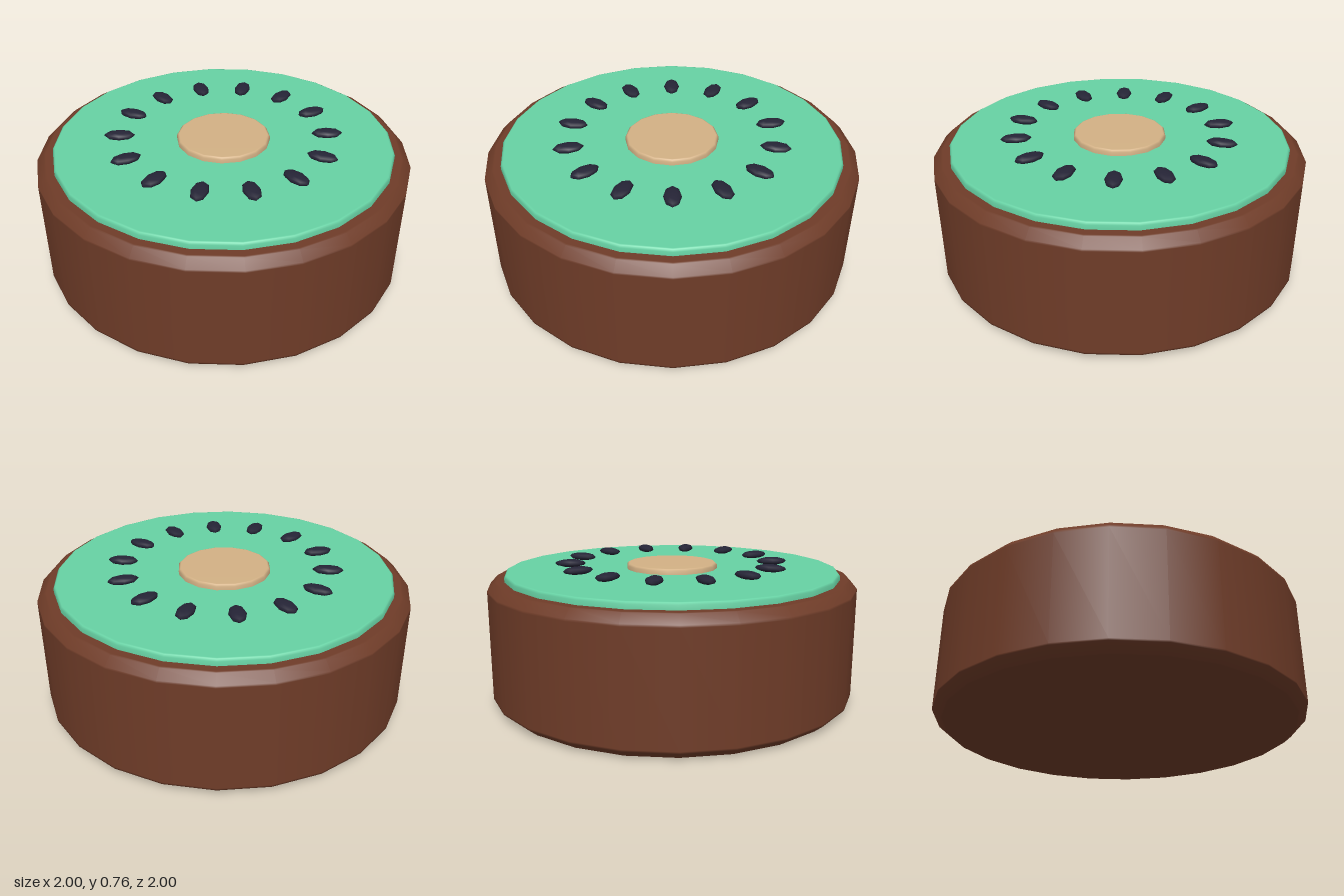
import * as THREE from 'three';

const material = (name, color) => Object.assign(new THREE.MeshStandardMaterial({ color }), { name });

// Solid of revolution from [radius, y] points, listed from the bottom up
function turned(name, points, sides, mat) {
  const profile = points.map(([r, y]) => new THREE.Vector2(r, y));
  const mesh = new THREE.Mesh(new THREE.LatheGeometry(profile, sides), mat);
  mesh.name = name;
  return mesh;
}

export function createModel() {
  const skin = material('brown skin', 0x6f3c28);
  const flesh = material('green flesh', 0x67d2a4);
  const core = material('tan core', 0xd3b185);
  const seedBlack = material('seed black', 0x252436);

  const model = new THREE.Group();
  model.name = 'kiwiSlice';

  // Chamfered skin; paired points close to the rims keep the caps flat
  model.add(turned('skin', [
    [0, 0], [0.945, 0], [0.955, 0.002], [1, 0.04], [1, 0.05],
    [1, 0.615], [1, 0.627], [0.96, 0.668], [0.95, 0.67], [0, 0.67],
  ], 24, skin));

  // Flesh disc
  model.add(turned('flesh', [
    [0.91, 0.66], [0.91, 0.693], [0.902, 0.703], [0.895, 0.705], [0, 0.705],
  ], 24, flesh));

  // Centre disc
  model.add(turned('core', [
    [0.25, 0.695], [0.25, 0.725], [0.242, 0.734], [0.236, 0.736], [0, 0.736],
  ], 16, core));

  // Ring of seeds pointing outward
  const seedShape = new THREE.SphereGeometry(1, 8, 6).scale(0.083, 0.021, 0.045);
  const seeds = new THREE.Group();
  seeds.name = 'seeds';
  const count = 14;
  for (let i = 0; i < count; i++) {
    const angle = (i / count) * Math.PI * 2;
    const seed = new THREE.Mesh(seedShape, seedBlack);
    seed.name = 'seed';
    seed.position.set(Math.cos(angle) * 0.557, 0.735, -Math.sin(angle) * 0.557);
    seed.rotation.y = angle;
    seeds.add(seed);
  }
  model.add(seeds);

  return model;
}
